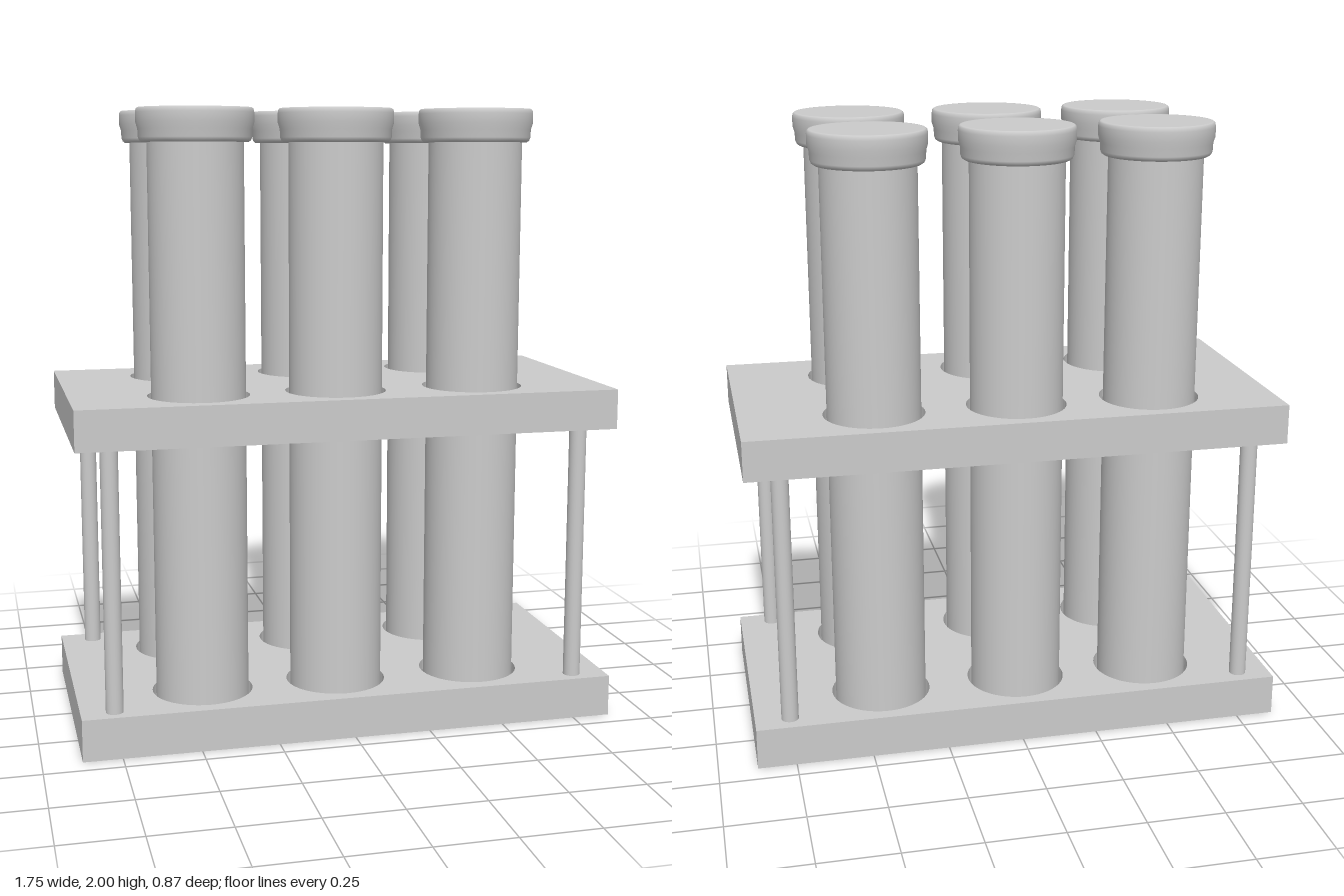
import * as THREE from 'three';

const W = 1.75, D = 0.87, HOLE_R = 0.163, TUBE_R = 0.15;
const XS = [-0.465, -0.018, 0.445], ZS = [-0.23, 0.227];
const material = new THREE.MeshStandardMaterial({ color: 0xcccccc });

function add(parent, name, geometry, x = 0, y = 0, z = 0) {
  const mesh = new THREE.Mesh(geometry, material);
  mesh.name = name;
  mesh.position.set(x, y, z);
  parent.add(mesh);
  return mesh;
}

// Horizontal plate with six round holes, rising from y = 0
function holedPlate(height) {
  const shape = new THREE.Shape([
    new THREE.Vector2(-W / 2, -D / 2), new THREE.Vector2(W / 2, -D / 2),
    new THREE.Vector2(W / 2, D / 2), new THREE.Vector2(-W / 2, D / 2),
  ]);
  for (const x of XS) for (const z of ZS) {
    shape.holes.push(new THREE.Path().absarc(x, -z, HOLE_R, 0, Math.PI * 2, true));
  }
  return new THREE.ExtrudeGeometry(shape, { depth: height, bevelEnabled: false, curveSegments: 24 })
    .rotateX(-Math.PI / 2);
}

function lathe(points) {
  return new THREE.LatheGeometry(points.map(([r, y]) => new THREE.Vector2(r, y)), 48);
}

export function createModel() {
  const model = new THREE.Group();
  model.name = 'testTubeRack';

  // Base with blind pockets, and the open upper shelf
  const base = new THREE.Group();
  base.name = 'base';
  model.add(base);
  add(base, 'baseFloor', new THREE.BoxGeometry(W, 0.03, D), 0, 0.015, 0);
  add(base, 'basePockets', holedPlate(0.105), 0, 0.03, 0);
  add(model, 'upperShelf', holedPlate(0.13), 0, 0.975, 0);

  // Corner posts between the plates
  const post = new THREE.CylinderGeometry(0.028, 0.028, 0.88, 24);
  for (const x of [-0.768, 0.762]) for (const z of [-0.373, 0.38]) {
    add(model, 'cornerPost', post, x, 0.555, z);
  }

  // Stoppered tubes
  const tube = new THREE.CylinderGeometry(TUBE_R, TUBE_R, 1.9, 48);
  const cap = lathe([
    [0, 1.895], [0.165, 1.895], [0.172, 1.9], [0.176, 1.91], [0.177, 1.935],
    [0.183, 1.955], [0.183, 1.985], [0.181, 1.996], [0.176, 2], [0.17, 2], [0, 2],
  ]);
  for (const x of XS) for (const z of ZS) {
    const unit = new THREE.Group();
    unit.name = 'stopperedTube';
    unit.position.set(x, 0, z);
    add(unit, 'tube', tube, 0, 0.98, 0);
    add(unit, 'stopper', cap);
    model.add(unit);
  }
  return model;
}
